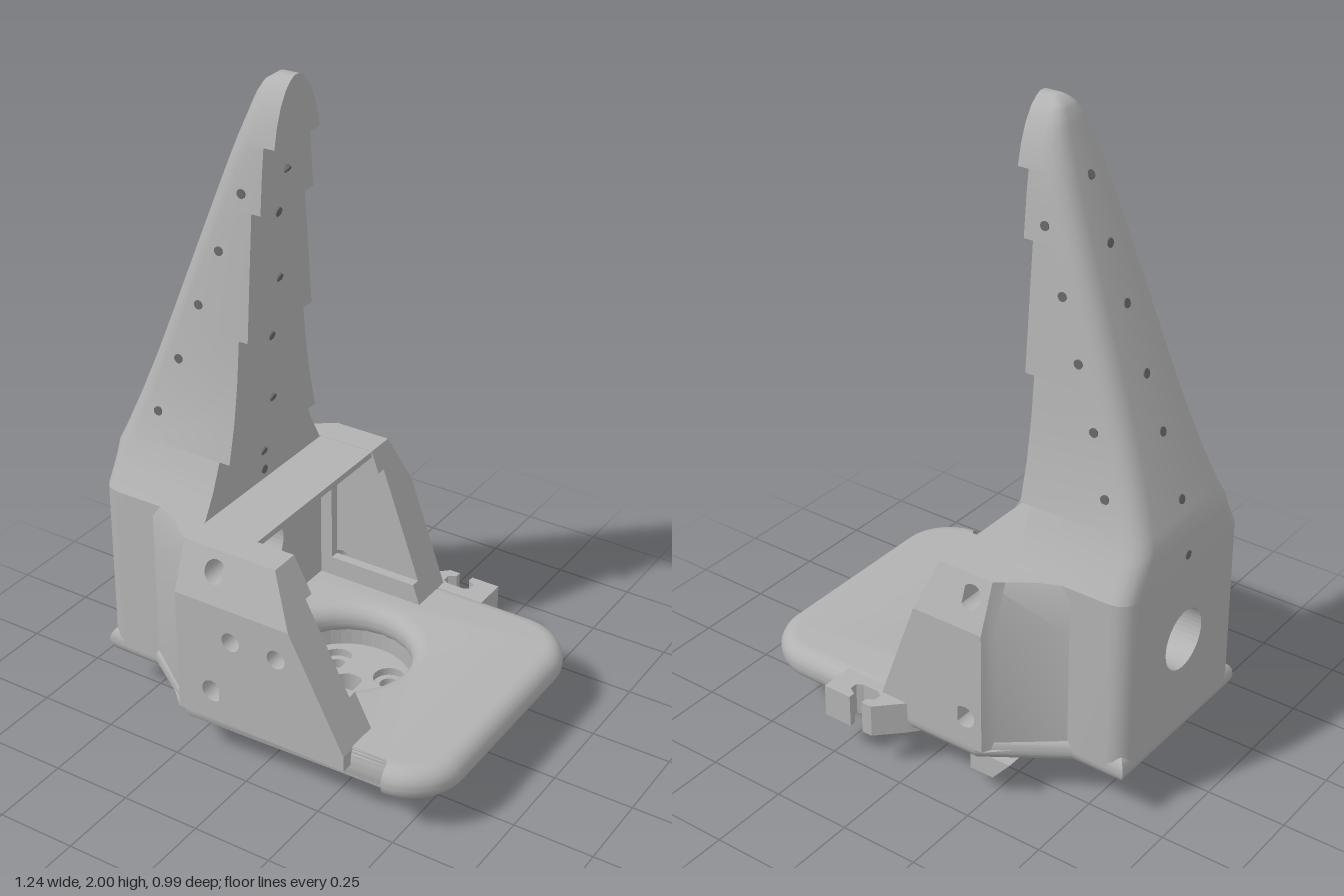
import * as THREE from 'three';
import { toCreasedNormals } from 'three/addons/utils/BufferGeometryUtils.js';

const grey = new THREE.MeshStandardMaterial({ color: 0xb2b2b2 });
grey.name = 'printed grey';
const dark = new THREE.MeshStandardMaterial({ color: 0x6a6a6a });
dark.name = 'hole grey';

const poly = (pts) => new THREE.Shape(pts.map(([x, y]) => new THREE.Vector2(x, y)));

function circle(x, y, r) {
  return new THREE.Path().absarc(x, y, r, 0, Math.PI * 2, true);
}

// Round hole with a pointed side towards +x
function teardrop(x, y, r) {
  const p = new THREE.Path();
  p.moveTo(x + r * 1.414, y);
  p.absarc(x, y, r, Math.PI / 4, Math.PI * 1.75, false);
  p.closePath();
  return p;
}

function extrude(shape, depth, holes = [], options = {}) {
  shape.holes.push(...holes);
  return new THREE.ExtrudeGeometry(shape, { depth, bevelEnabled: false, curveSegments: 20, ...options });
}

// Horizontal slab from a plan shape (shape y becomes -z)
const slab = (shape, y0, y1, holes) => extrude(shape, y1 - y0, holes).rotateX(-Math.PI / 2).translate(0, y0, 0);

// Skin over horizontal rings {y, pts: [x, z]}, capped at both ends
function loft(rings) {
  const n = rings[0].pts.length, pos = [], idx = [];
  rings.forEach(({ y, pts }) => pts.forEach(([x, z]) => pos.push(x, y, z)));
  for (let i = 0; i < rings.length - 1; i++) {
    for (let j = 0; j < n; j++) {
      const a = i * n + j, b = i * n + (j + 1) % n;
      idx.push(a, b, b + n, a, b + n, a + n);
    }
  }
  const top = (rings.length - 1) * n;
  for (let j = 1; j < n - 1; j++) idx.push(0, j + 1, j, top, top + j, top + j + 1);
  const g = new THREE.BufferGeometry();
  g.setAttribute('position', new THREE.Float32BufferAttribute(pos, 3));
  g.setIndex(idx);
  return toCreasedNormals(g, 0.6);
}

function add(parent, name, geometry, material = grey) {
  const m = new THREE.Mesh(geometry, material);
  m.name = name;
  parent.add(m);
  return m;
}

// Rod between two points, its ends showing as drilled holes
function drill(parent, a, b, r) {
  const p = new THREE.Vector3(...a), q = new THREE.Vector3(...b), d = q.clone().sub(p);
  const m = add(parent, 'drilledHole', new THREE.CylinderGeometry(r, r, d.length(), 12), dark);
  m.position.copy(p).add(q).multiplyScalar(0.5);
  m.quaternion.setFromUnitVectors(new THREE.Vector3(0, 1, 0), d.normalize());
}

// Piecewise linear lookup
function lerpTable(t, y) {
  for (let i = 1; i < t.length; i++) {
    if (y <= t[i][0]) {
      const [y0, v0] = t[i - 1], [y1, v1] = t[i];
      return v0 + (v1 - v0) * (y - y0) / (y1 - y0);
    }
  }
  return t[t.length - 1][1];
}

const widths = [[0.72, 0.3], [0.8, 0.255], [0.88, 0.222], [1, 0.193], [1.12, 0.174], [1.25, 0.161], [1.45, 0.145],
  [1.63, 0.13], [1.75, 0.119], [1.82, 0.11], [1.88, 0.096], [1.93, 0.077], [1.97, 0.052], [1.99, 0.03], [2, 0.012]];
const backs = [[0.72, -0.62], [0.84, -0.62], [1.95, -0.212], [1.98, -0.195], [2, -0.165]];
const steps = [[0.88, -0.24], [1.25, -0.205], [1.63, -0.175], [1.82, -0.145], [2.01, -0.11]];

// Plan section of the spine, rounded at its two rear edges
function spineRing(y, front) {
  const w = lerpTable(widths, y), back = lerpTable(backs, y), r = Math.min(0.06, w * 0.6);
  const arc = [0, 1, 2, 3, 4].map((k) => k * Math.PI / 8)
    .map((a) => [back + r - r * Math.cos(a), w - r + r * Math.sin(a)]);
  const mirrored = arc.map(([x, z]) => [x, -z]).reverse();
  return { y, pts: [...arc, [front, w], [front, -w], ...mirrored] };
}

function addSpine(root) {
  const rings = [];
  let low = 0.72;
  for (const [high, front] of steps) {
    const ys = [...widths, ...backs].map((e) => e[0]).filter((y) => y > low && y < high);
    const end = Math.min(high, 2);
    [...new Set([low, ...ys, end])].sort((a, b) => a - b).forEach((y) => rings.push(spineRing(y, front)));
    low = high;
  }
  add(root, 'steppedSpine', loft(rings));
  // Cross holes through the sides
  for (const [x, y] of [[-0.47, 0.97], [-0.41, 1.145], [-0.345, 1.325], [-0.28, 1.5], [-0.21, 1.68]]) {
    const w = lerpTable(widths, y) + 0.003;
    drill(root, [x, y, -w], [x, y, w], 0.014);
  }
  // Holes from the sloping back to the stepped front
  const pairs = [[0.75, 0.75], [0.92, 0.81], [1.11, 1], [1.27, 1.2], [1.46, 1.39], [1.62, 1.59], [1.8, 1.72]];
  for (const [yb, yf] of pairs) {
    const front = steps.find(([h]) => yf < h)[1];
    drill(root, [lerpTable(backs, yb) - 0.003, yb, 0], [front + 0.003, yf, 0], 0.014);
  }
}

function addBlock(root) {
  // Centre bored through along x
  const core = extrude(poly([[-0.24, 0.17], [0.24, 0.17], [0.24, 0.72], [-0.24, 0.72]]), 0.38, [circle(0, 0.465, 0.095)]);
  add(root, 'boredBlock', core.rotateY(Math.PI / 2).translate(-0.62, 0, 0));
  // Cheeks with rounded rear edges
  const arc = [0, 1, 2, 3, 4].map((k) => k * Math.PI / 8)
    .map((a) => [-0.56 - 0.06 * Math.cos(a), 0.24 + 0.06 * Math.sin(a)]);
  const pts = [...arc, [-0.24, 0.3], [-0.24, 0.24]];
  for (const s of [1, -1]) {
    const side = s > 0 ? pts : pts.map(([x, z]) => [x, -z]).reverse();
    add(root, 'blockCheek', loft([0.17, 0.72].map((y) => ({ y, pts: side }))));
  }
}

// Side wall with a sloping front edge; built on +z, mirrored for the other side
function addWall(root, name, sign, topX, footX, notch, drops, rounds) {
  const wall = new THREE.Group();
  wall.name = name;
  wall.scale.z = sign;
  root.add(wall);
  const slope = (y) => topX + (footX - topX) * (0.72 - y) / 0.5;
  const back = -0.24, bend = 0.57;
  const lower = poly([[back, 0.17], [footX, 0.17], [footX, 0.22], [slope(bend), bend], [back, bend]]);
  const lowHoles = [teardrop(drops, 0.27, 0.035), ...rounds.map((x) => circle(x, 0.465, 0.03))];
  add(wall, 'wallLower', extrude(lower, 0.12, lowHoles).translate(0, 0, 0.335));
  // Upper part leans inwards
  const upper = extrude(poly([[back, bend], [slope(bend), bend], [topX, 0.72], [back, 0.72]]), 0.12,
    [teardrop(drops, 0.66, 0.035)]).translate(0, 0, 0.335);
  const p = upper.attributes.position;
  for (let i = 0; i < p.count; i++) {
    if (p.getZ(i) > 0.4) p.setZ(i, 0.455 - (p.getY(i) - bend) * 0.37);
  }
  upper.computeVertexNormals();
  add(wall, 'wallUpper', upper);
  // Inner lining with a pocket open to the slope
  const [n0, n1] = notch;
  add(wall, 'wallLining', extrude(poly([[back, 0.17], [footX, 0.17], [footX, 0.22], [slope(n0), n0],
    [-0.2, n0], [-0.2, n1], [slope(n1), n1], [topX, 0.72], [back, 0.72]]), 0.03).translate(0, 0, 0.305));
  // Diagonal web back to the block
  add(wall, 'wallWeb', loft([[0.17, 0.455], [bend, 0.455], [0.68, 0.414], [0.72, 0.4]].map(([y, z], i) => ({
    y, pts: [[i === 3 ? -0.4 : -0.43, 0.28], [i === 3 ? -0.4 : -0.43, 0.3], [-0.26, z - 0.035], [back, z], [back, 0.28]],
  }))));
}

function addBase(root) {
  // Plate with fully rounded rim and round opening
  const s = new THREE.Shape();
  s.moveTo(-0.57, -0.25);
  s.lineTo(-0.43, -0.25);
  s.lineTo(-0.2, -0.405);
  s.lineTo(0.45, -0.405);
  s.absarc(0.44, -0.275, 0.13, -Math.PI / 2, 0, false);
  s.absarc(0.44, 0.275, 0.13, 0, Math.PI / 2, false);
  s.lineTo(-0.2, 0.405);
  s.lineTo(-0.43, 0.25);
  s.lineTo(-0.57, 0.25);
  s.closePath();
  const plate = extrude(s, 0.005, [circle(0.05, 0, 0.25)],
    { bevelEnabled: true, bevelSize: 0.05, bevelThickness: 0.05, bevelSegments: 5, curveSegments: 12 });
  add(root, 'basePlate', toCreasedNormals(plate.rotateX(-Math.PI / 2).translate(0, 0.17, 0), 0.6));
  // Hub below: wall, counterbored floor and half rim
  const disc = () => new THREE.Shape().absarc(0.045, 0, 0.228, 0, Math.PI * 2, false);
  const bolts = [[0.145, 0.095], [0.145, -0.095], [-0.045, 0.095], [-0.045, -0.095]];
  const holes = (r) => [teardrop(0.05, 0, 0.05), ...bolts.map(([x, y]) => teardrop(x, y, r))];
  add(root, 'hubFloor', slab(disc(), 0.02, 0.06, holes(0.03)));
  add(root, 'hubCounterbore', slab(disc(), 0.06, 0.085, holes(0.05)));
  add(root, 'hubWall', slab(disc(), 0.085, 0.15, [circle(0.045, 0, 0.208)]));
  const rim = new THREE.Shape();
  rim.absarc(0.045, 0, 0.228, -1.85, 1.85, false);
  rim.absarc(0.045, 0, 0.205, 1.85, -1.85, true);
  add(root, 'hubRim', slab(rim, 0, 0.02));
  // Cable clip on the rear edge
  const clip = poly([[0, 0.42], [0.03, 0.455], [0.105, 0.53], [0.14, 0.53], [0.14, 0.51], [0.117, 0.495], [0.117, 0.47],
    [0.135, 0.46], [0.19, 0.46], [0.21, 0.47], [0.21, 0.495], [0.185, 0.51], [0.185, 0.53], [0.28, 0.53], [0.28, 0.42]]);
  add(root, 'cableClip', slab(clip, 0.12, 0.225));
  // Cable guide under the rear wall
  add(root, 'cableGuide', extrude(poly([[-0.31, 0.13], [-0.25, 0.06], [-0.17, 0.06], [-0.17, 0.13]]), 0.115)
    .translate(0, 0, -0.415));
}

export function createModel() {
  const model = new THREE.Group();
  model.name = 'fingerBracket';
  const root = new THREE.Group();
  root.name = 'bracketBody';
  root.position.z = 0.035;
  model.add(root);
  addBase(root);
  addBlock(root);
  addSpine(root);
  addWall(root, 'leftWall', 1, 0.07, 0.33, [0.33, 0.61], -0.12, [-0.05, 0.105]);
  addWall(root, 'rightWall', -1, -0.055, 0.125, [0.29, 0.65], -0.18, []);
  // Thin bridge between the walls
  add(root, 'topBridge', new THREE.BoxGeometry(0.19, 0.02, 0.64).translate(-0.15, 0.709, 0));
  return model;
}
